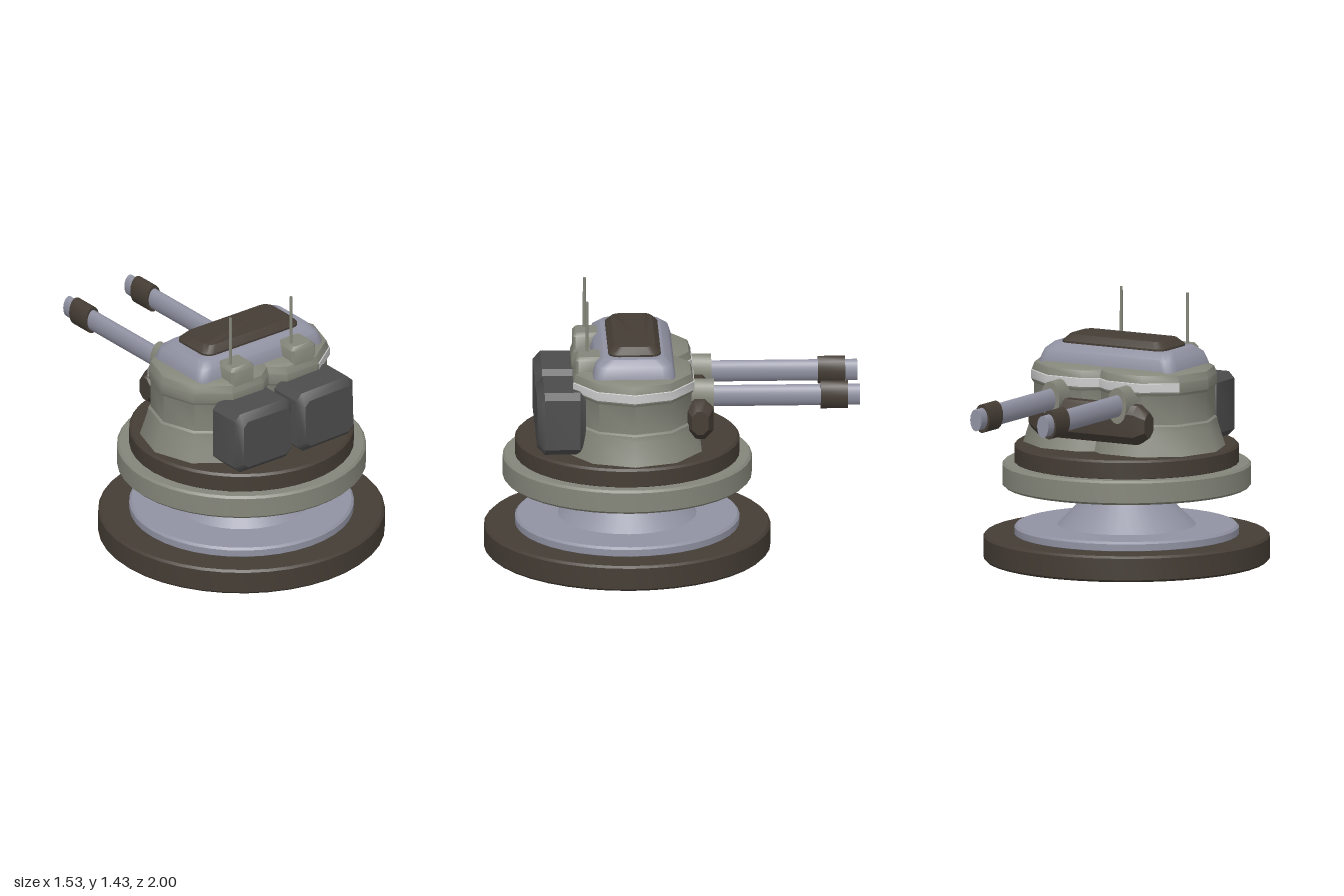
import * as THREE from 'three';
import { toCreasedNormals } from 'three/addons/utils/BufferGeometryUtils.js';

const mat = (color) => new THREE.MeshStandardMaterial({ color, side: THREE.DoubleSide });
const olive = mat(0x85867a), dark = mat(0x453d35), steel = mat(0x9092a2);
const charcoal = mat(0x4c4c4c), white = mat(0xc4c4c4);

const CZ = 0.235;   // z of the turning axis
const TZ = 0.21;    // z of the turret centre

export function createModel() {
  const model = new THREE.Group();

  const add = (name, geo, material, x = 0, y = 0, z = 0) => {
    const mesh = new THREE.Mesh(toCreasedNormals(geo, 0.68), material);
    mesh.name = name;
    mesh.position.set(x, y, z);
    model.add(mesh);
    return mesh;
  };

  const lathe = (pts, sides, start = 0, arc = Math.PI * 2) =>
    new THREE.LatheGeometry(pts.map(([r, y]) => new THREE.Vector2(r, y)), sides, start, arc);

  // Disc with a narrow bevel on both rims
  const disc = (name, r, y0, y1, material, b = 0.012) =>
    add(name, lathe([[0, y0], [r - b, y0], [r, y0 + b], [r, y1 - b], [r - b, y1], [0, y1]], 40), material, 0, 0, CZ);

  // Rounded-rectangle sections [z, halfWidth, halfHeight, corner] joined along z
  const loft = (sections, n = 1) => {
    const pos = [], idx = [], m = 4 * (n + 1);
    for (const [z, hx, hy, c] of sections) {
      for (let q = 0; q < 4; q++) {
        const sx = q === 0 || q === 3 ? 1 : -1, sy = q < 2 ? 1 : -1;
        for (let k = 0; k <= n; k++) {
          const a = (q + k / n) * Math.PI / 2;
          pos.push(sx * (hx - c) + c * Math.cos(a), sy * (hy - c) + c * Math.sin(a), z);
        }
      }
    }
    const last = (sections.length - 1) * m;
    for (let s = 0; s < sections.length - 1; s++) {
      for (let i = 0; i < m; i++) {
        const a = s * m + i, b = s * m + (i + 1) % m;
        idx.push(a, b, b + m, a, b + m, a + m);
      }
    }
    for (let i = 1; i < m - 1; i++) idx.push(0, i + 1, i, last, last + i, last + i + 1);
    const g = new THREE.BufferGeometry();
    g.setAttribute('position', new THREE.Float32BufferAttribute(pos, 3));
    g.setIndex(idx);
    const flat = g.toNonIndexed();
    flat.computeVertexNormals();
    return flat;
  };
  const upright = (sections, n) => loft(sections, n).rotateX(-Math.PI / 2);

  // Pedestal
  disc('basePlate', 0.765, 0, 0.14, dark);
  disc('baseStep', 0.6, 0.13, 0.19, steel);
  add('pedestalCone', lathe([[0.375, 0.185], [0.155, 0.41]], 32), steel, 0, 0, CZ);
  disc('turntable', 0.665, 0.4, 0.53, olive);
  disc('turntableStep', 0.6, 0.52, 0.63, dark);

  // Turret body: two overlapping ten-sided lobes
  const profile = [[0.385, 0.62], [0.342, 0.755], [0.337, 0.785], [0.325, 0.795], [0.325, 0.95],
    [0.336, 0.965], [0.336, 1.02], [0.322, 1.06], [0.295, 1.075], [0, 1.08]];
  const band = [[0.332, 0.968], [0.341, 0.973], [0.341, 1.018], [0.332, 1.023]];
  const step = Math.PI / 5;
  for (const side of [-1, 1]) {
    const sideName = side > 0 ? 'left' : 'right';
    const x = side * 0.185;
    add(sideName + 'TurretLobe', lathe(profile, 10, Math.PI / 2), olive, x, 0, TZ);
    // Painted band, only part of the way round each lobe
    const first = side > 0 ? 0 : 3, count = side > 0 ? 6 : 3;
    add(sideName + 'Stripe', lathe(band, count, (0.5 + first) * step, count * step), white, x, 0, TZ);

    // Storage pod on the front face
    const pod = add(sideName + 'Pod', loft([[-0.13, 0.165, 0.145, 0.035], [-0.1, 0.19, 0.172, 0.035],
      [0.09, 0.19, 0.172, 0.035], [0.13, 0.16, 0.135, 0.03]]), charcoal, side * 0.21, 0.81, 0.598);
    pod.rotation.z = side > 0 ? 0.03 : 0;

    // Antenna with its chamfered mount
    const ax = side > 0 ? 0.203 : -0.207;
    add(sideName + 'AntennaMount', upright([[1.03, 0.078, 0.075, 0.014], [1.135, 0.078, 0.075, 0.014],
      [1.155, 0.062, 0.06, 0.01]]), olive, ax, 0, 0.445);
    add(sideName + 'Antenna', new THREE.CylinderGeometry(0.008, 0.009, 0.29, 8), olive, ax - 0.04, 1.285, 0.455);

    // Gun along -z, oval in section
    const tube = (name, r, z0, z1, material, ry = r * 1.7) =>
      add(sideName + name, new THREE.CylinderGeometry(1, 1, 1, 16).rotateX(Math.PI / 2)
        .scale(r, ry, z0 - z1), material, side * 0.207, 0.91, (z0 + z1) / 2);
    tube('GunCollar', 0.058, -0.03, -0.22, olive, 0.098);
    tube('GunBarrel', 0.035, -0.1, -1, steel);
    tube('GunMuzzle', 0.046, -0.79, -0.935, dark);
  }

  // Gun mantlet across the back face
  add('gunMantlet', loft([[-0.36, 0.045, 0.065, 0.03], [-0.3, 0.072, 0.106, 0.045],
    [0.3, 0.072, 0.106, 0.045], [0.36, 0.045, 0.065, 0.03]]).rotateY(Math.PI / 2), dark, 0, 0.805, -0.142);

  // Roof housing and hatch plate
  add('roofHousing', upright([[1.05, 0.422, 0.22, 0.06], [1.075, 0.422, 0.22, 0.06],
    [1.135, 0.4, 0.203, 0.06], [1.17, 0.365, 0.16, 0.06]], 4), steel, 0, 0, TZ);
  add('roofPlate', upright([[1.16, 0.32, 0.14, 0.055], [1.18, 0.32, 0.14, 0.055],
    [1.215, 0.285, 0.11, 0.05]], 4), dark, 0, 0, 0.205);

  return model;
}
